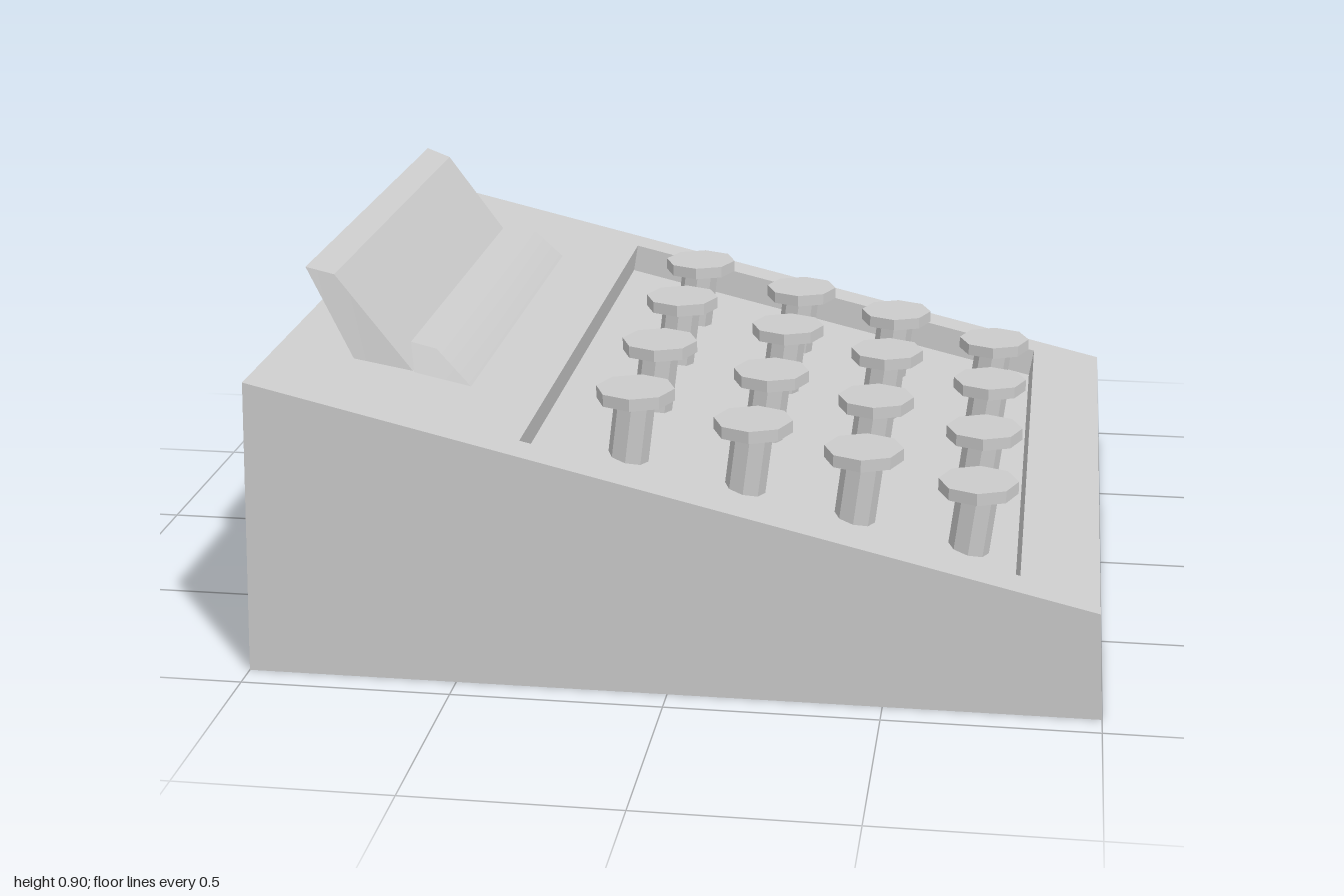
import * as THREE from 'three';
import { toCreasedNormals } from 'three/addons/utils/BufferGeometryUtils.js';

const grey = new THREE.MeshStandardMaterial({ color: 0xcccccc });

// Four corners, anticlockwise from above: each end has x, y and half depth
const ring = (x0, y0, h0, x1, y1, h1, zc = 0) => [
  [x0, y0, zc + h0], [x1, y1, zc + h1], [x1, y1, zc - h1], [x0, y0, zc - h0],
];

// Skin a stack of four-cornered rings and close both ends
function loft(name, rings, crease) {
  const pos = [];
  const quad = (a, b, c, d) => pos.push(...a, ...b, ...c, ...a, ...c, ...d);
  quad(...[...rings[0]].reverse());
  for (let r = 0; r + 1 < rings.length; r++) {
    for (let i = 0; i < 4; i++) {
      const j = (i + 1) % 4;
      quad(rings[r][i], rings[r][j], rings[r + 1][j], rings[r + 1][i]);
    }
  }
  quad(...rings[rings.length - 1]);
  const geo = new THREE.BufferGeometry();
  geo.setAttribute('position', new THREE.Float32BufferAttribute(pos, 3));
  const mesh = new THREE.Mesh(toCreasedNormals(geo, crease), grey);
  mesh.name = name;
  return mesh;
}

// Height of the sloping top, and of the sunken floor below it
const slopeY = (x) => 0.72 - 0.2347 * (x + 0.975);
const floorY = (x) => 0.5 - 0.2347 * (x + 0.367);

function createButton(x, z, top) {
  const button = new THREE.Group();
  button.name = 'button';
  const cap = new THREE.Mesh(
    toCreasedNormals(new THREE.CylinderGeometry(0.095, 0.095, 0.03, 8), 0.3), grey);
  cap.name = 'buttonCap';
  cap.position.set(x, top - 0.015, z);

  // Stem leans slightly downhill towards its foot, and starts just under the floor
  const foot = floorY(x) - 0.02;
  const height = top - 0.02 - foot;
  const stemGeo = new THREE.CylinderGeometry(0.05, 0.05, height, 8);
  const p = stemGeo.attributes.position;
  for (let i = 0; i < p.count; i++) {
    p.setX(i, p.getX(i) + (p.getY(i) - height / 2) * 0.12);
  }
  const stem = new THREE.Mesh(toCreasedNormals(stemGeo, 0.3), grey);
  stem.name = 'buttonStem';
  stem.position.set(x, foot + height / 2, z);
  button.add(cap, stem);
  return button;
}

export function createModel() {
  const model = new THREE.Group();
  model.name = 'wedgeConsole';

  // Wedge body: base, sloping top, rim of the recess, recess floor
  model.add(loft('body', [
    ring(-1, 0, 0.932, 1, 0, 0.932),
    ring(-0.975, 0.72, 0.932, 0.985, 0.26, 0.932),
    ring(-0.355, slopeY(-0.355), 0.836, 0.802, slopeY(0.802), 0.836),
    ring(-0.367, floorY(-0.367), 0.836, 0.79, floorY(0.79), 0.836),
  ], 0.1));

  // Leaning back rest
  model.add(loft('backRest', [
    ring(-0.8, 0.672, 0.6, -0.66, 0.64, 0.578, 0.008),
    ring(-0.91, 0.905, 0.604, -0.845, 0.885, 0.59, 0.008),
  ], 0.1));

  // Low ridge in front of it, soft from its top into its front slope
  model.add(loft('ridge', [
    ring(-0.66, 0.64, 0.582, -0.52, 0.61, 0.575, 0.012),
    ring(-0.672, 0.715, 0.557, -0.61, 0.7, 0.557, 0.012),
  ], 0.6));

  // Four by four buttons stepping down the slope
  const rows = [[-0.128, 0.625], [0.155, 0.558], [0.42, 0.5], [0.693, 0.43]];
  for (const [x, top] of rows) {
    for (const z of [-0.542, -0.19, 0.193, 0.568]) model.add(createButton(x, z, top));
  }
  return model;
}
